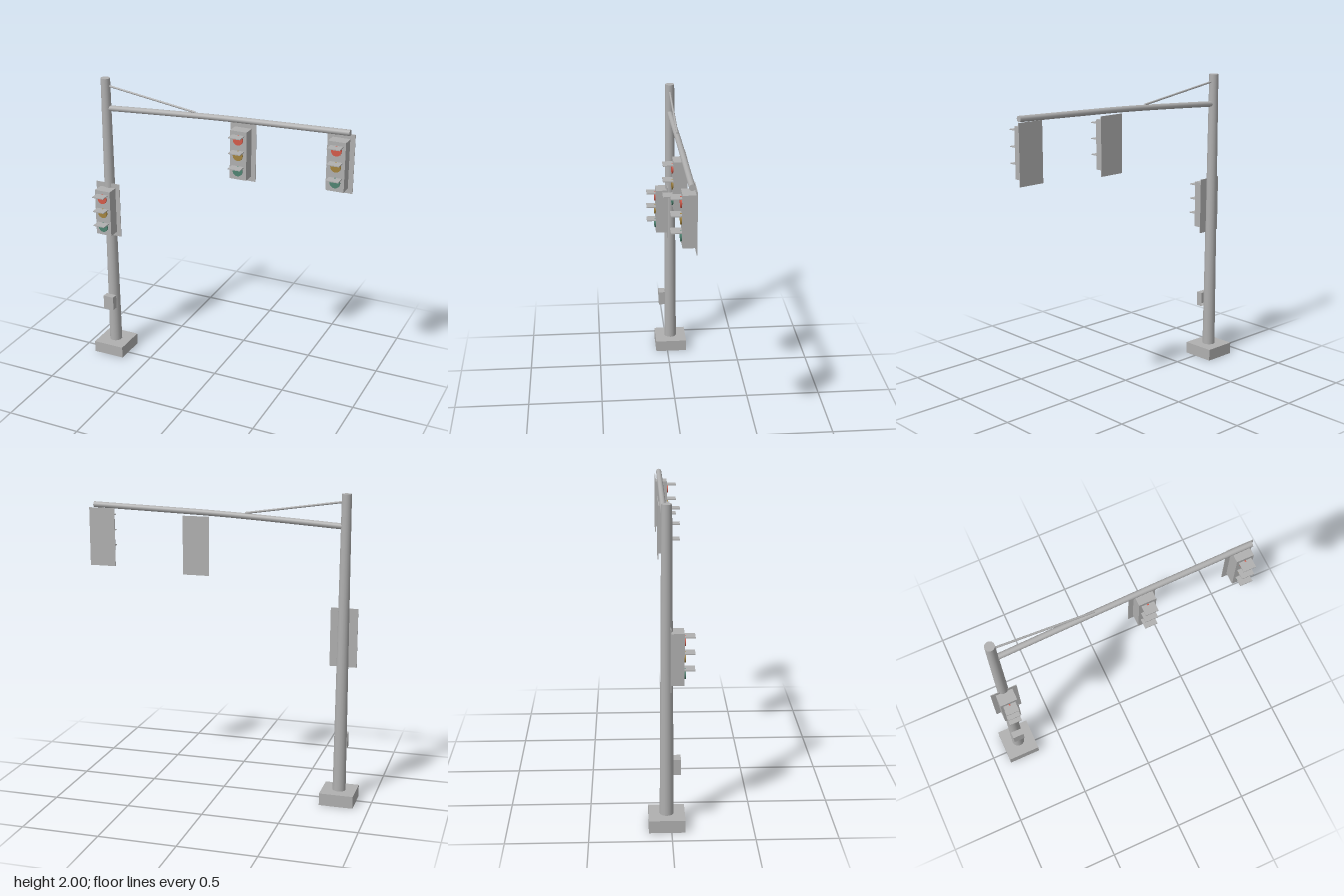
import * as THREE from 'three';

const mat = (name, color, side = THREE.FrontSide) => {
  const m = new THREE.MeshStandardMaterial({ color, side });
  m.name = name;
  return m;
};

export function createModel() {
  const grey = mat('galvanised grey', 0xb0b0b0, THREE.DoubleSide);
  const red = mat('lamp red', 0xd45b4b);
  const amber = mat('lamp amber', 0xa38440);
  const green = mat('lamp green', 0x4f8472);

  const model = new THREE.Group();
  model.name = 'trafficSignalMast';
  const PX = -0.789, PZ = -0.028; // mast axis

  const add = (parent, name, geo, material, x = 0, y = 0, z = 0) => {
    const mesh = new THREE.Mesh(geo, material);
    mesh.name = name;
    mesh.position.set(x, y, z);
    parent.add(mesh);
    return mesh;
  };

  // Box with one side left open (0..5 = +x -x +y -y +z -z)
  const openBox = (w, h, d, face) => {
    const g = new THREE.BoxGeometry(w, h, d);
    g.setIndex(Array.from(g.index.array).filter((_, i) => Math.floor(i / 6) !== face));
    g.clearGroups();
    return g;
  };

  // Round bar between two points
  const bar = (name, a, b, r, sides) => {
    const dir = b.clone().sub(a);
    const mesh = add(model, name, new THREE.CylinderGeometry(r, r, dir.length(), sides), grey);
    mesh.position.copy(a).add(b).multiplyScalar(0.5);
    mesh.quaternion.setFromUnitVectors(new THREE.Vector3(0, 1, 0), dir.normalize());
  };
  const at = (x, y) => new THREE.Vector3(x, y, PZ);

  // Footing, tapered mast and control box
  add(model, 'footing', openBox(0.22, 0.08, 0.222, 3), grey, PX, 0.04, PZ);
  add(model, 'mast', new THREE.CylinderGeometry(0.031, 0.043, 1.92, 16), grey, PX, 1.04, PZ);
  add(model, 'controlBox', openBox(0.075, 0.098, 0.044, 5), grey, PX, 0.4, 0.035);

  // Slightly bowed mast arm with end caps
  const path = new THREE.CatmullRomCurve3([
    at(PX, 1.798), at(-0.38, 1.824), at(0.03, 1.847), at(0.45, 1.862), at(0.875, 1.876),
  ]);
  add(model, 'mastArm', new THREE.TubeGeometry(path, 16, 0.019, 12), grey);
  const cap = add(model, 'armEndCap', new THREE.CircleGeometry(0.019, 12), grey);
  cap.position.copy(path.getPoint(1));
  cap.quaternion.setFromUnitVectors(new THREE.Vector3(0, 0, 1), path.getTangent(1));

  // Tie rod bracing the arm
  bar('tieRod', at(PX, 1.953), at(-0.147, 1.858), 0.007, 8);

  // Signal head: backplate, housing, three lamps with flat visors
  const signalHead = (name, x, y, z) => {
    const head = new THREE.Group();
    head.name = name;
    head.position.set(x, y, z);
    add(head, 'backplate', new THREE.BoxGeometry(0.175, 0.38, 0.004), grey);
    add(head, 'housing', new THREE.BoxGeometry(0.112, 0.318, 0.08), grey, 0, 0, 0.04);
    [[red, 'redLamp'], [amber, 'amberLamp'], [green, 'greenLamp']].forEach(([m, lampName], i) => {
      const ly = (1 - i) * 0.102;
      const lens = new THREE.CylinderGeometry(0.033, 0.033, 0.01, 16).rotateX(Math.PI / 2);
      add(head, lampName, lens, m, 0, ly, 0.084);
      add(head, 'visor', new THREE.BoxGeometry(0.082, 0.006, 0.064), grey, 0, ly + 0.029, 0.112);
    });
    model.add(head);
  };
  signalHead('mastSignal', PX, 1.091, -0.005);
  signalHead('innerArmSignal', 0.172, 1.638, -0.055);
  signalHead('outerArmSignal', 0.812, 1.668, -0.055);

  return model;
}
